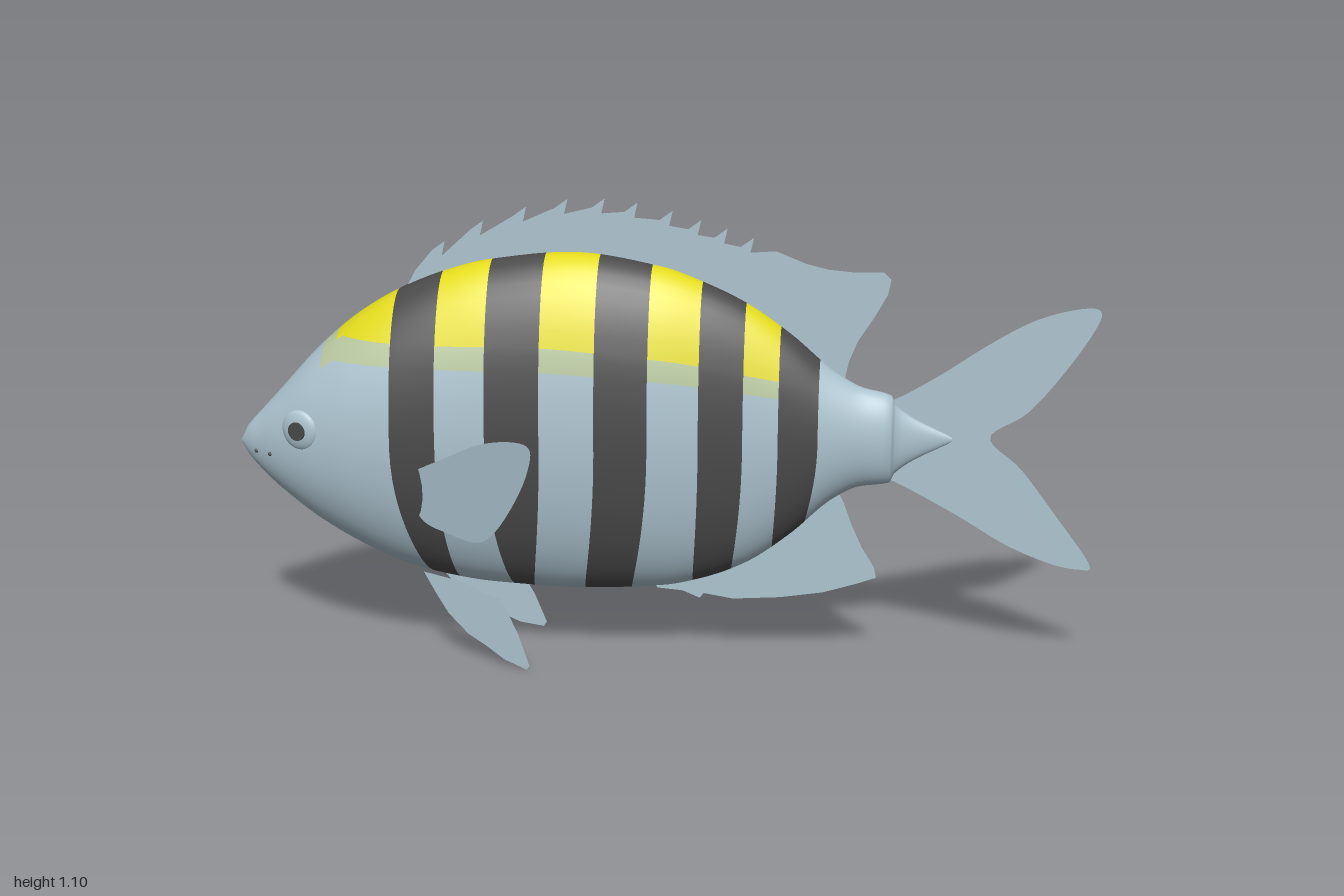
import * as THREE from 'three';

const mat = (name, color, side = THREE.FrontSide) => {
  const m = new THREE.MeshStandardMaterial({ color, side });
  m.name = name;
  return m;
};

// Body stations: x, top y, bottom y, half width
const PROFILE = [
  [-1, 0.508, 0.502, 0.002], [-0.985, 0.54, 0.476, 0.02], [-0.95, 0.58, 0.435, 0.045],
  [-0.9, 0.635, 0.39, 0.08], [-0.8, 0.745, 0.315, 0.128], [-0.7, 0.83, 0.258, 0.155],
  [-0.6, 0.89, 0.215, 0.165], [-0.5, 0.932, 0.19, 0.166], [-0.4, 0.96, 0.176, 0.165],
  [-0.2, 0.982, 0.168, 0.16], [0, 0.953, 0.18, 0.143], [0.1, 0.918, 0.203, 0.126],
  [0.2, 0.87, 0.245, 0.107], [0.3, 0.8, 0.318, 0.09], [0.4, 0.715, 0.41, 0.071],
  [0.46, 0.68, 0.442, 0.058], [0.53, 0.662, 0.453, 0.047], [0.54, 0.64, 0.475, 0.028],
  [0.67, 0.566, 0.556, 0.003],
];
// Lower edges of the yellow back and of the pale band below it: x, y, y
const BACK = [[-1, 0.785, 0.73], [-0.6, 0.785, 0.735], [-0.3, 0.79, 0.735], [0, 0.765, 0.715], [0.25, 0.715, 0.675], [0.67, 0.62, 0.6]];
// Colour edges along the body: x, shift at the belly, colour zone that follows
const EDGES = [
  [-1, 0, 'plain'], [-0.785, 0, 'fade'], [-0.75, 0, 'back'], [-0.61, 0.07, 'bar'], [-0.505, 0.03, 'back'],
  [-0.39, 0.045, 'bar'], [-0.265, -0.035, 'back'], [-0.14, -0.04, 'bar'], [-0.02, -0.05, 'back'],
  [0.095, -0.02, 'bar'], [0.195, -0.03, 'back'], [0.275, -0.015, 'bar'], [0.365, -0.03, 'plain'],
  [0.53, 0, 'plain'], [0.54, 0, 'plain'], [0.67, 0, 'plain'],
];

// Monotone cubic interpolation of column k of a table
function sample(table, k, x) {
  const n = table.length;
  const slope = i => (table[i + 1][k] - table[i][k]) / (table[i + 1][0] - table[i][0]);
  const tangent = i => {
    if (i === 0) return slope(0);
    if (i === n - 1) return slope(n - 2);
    const a = slope(i - 1), b = slope(i);
    return a * b <= 0 ? 0 : (2 * a * b) / (a + b);
  };
  let i = 0;
  while (i < n - 2 && x > table[i + 1][0]) i++;
  const h = table[i + 1][0] - table[i][0];
  const t = Math.min(1, Math.max(0, (x - table[i][0]) / h)), t2 = t * t, t3 = t2 * t;
  return (2 * t3 - 3 * t2 + 1) * table[i][k] + (t3 - 2 * t2 + t) * h * tangent(i)
    + (3 * t2 - 2 * t3) * table[i + 1][k] + (t3 - t2) * h * tangent(i + 1);
}

function section(x) {
  const top = sample(PROFILE, 1, x), bottom = sample(PROFILE, 2, x);
  return { mid: (top + bottom) / 2, half: (top - bottom) / 2, width: sample(PROFILE, 3, x) };
}

function sideZ(x, y) {
  const s = section(x), t = (y - s.mid) / s.half;
  return s.width * Math.sqrt(Math.max(0, 1 - t * t));
}

// Elliptical loft whose rows and columns follow the colour edges
function bodyGeometry() {
  const columns = [];
  EDGES.forEach(([x, shift, zone], i) => {
    if (i === EDGES.length - 1) return columns.push({ x, shift, zone });
    const [x2, shift2] = EDGES[i + 1], n = Math.max(2, Math.ceil((x2 - x) / 0.018));
    for (let k = 0; k < n; k++) {
      columns.push({ x: x + (x2 - x) * k / n, shift: shift + (shift2 - shift) * k / n, zone });
    }
  });
  const YELLOW = 8, PALE = 3, LOWER = 21, HALF = YELLOW + PALE + LOWER, RING = HALF * 2;
  const positions = [], faces = [[], [], [], []];
  for (const c of columns) {
    const s = section(c.x);
    const angle = (k, lo, hi) => Math.acos(THREE.MathUtils.clamp((sample(BACK, k, c.x) - s.mid) / s.half, lo, hi));
    const a1 = angle(1, 0.2, 0.93), a2 = angle(2, 0.05, 0.78);
    for (let j = 0; j < RING; j++) {
      const r = j <= HALF ? j : RING - j;
      const a = r <= YELLOW ? a1 * r / YELLOW
        : r <= YELLOW + PALE ? a1 + (a2 - a1) * (r - YELLOW) / PALE
          : a2 + (Math.PI - a2) * (r - YELLOW - PALE) / LOWER;
      const t = Math.cos(a), x = c.x + c.shift * Math.max(0, -t) ** 2, p = section(x);
      positions.push(x, p.mid + p.half * t, p.width * Math.sin(a) * (j <= HALF ? 1 : -1));
    }
  }
  for (let i = 0; i < columns.length - 1; i++) {
    const zone = columns[i].zone;
    for (let j = 0; j < RING; j++) {
      const r = j < HALF ? j : RING - 1 - j;
      let m = 0;
      if (zone === 'bar') m = 3;
      else if (zone !== 'plain' && r < YELLOW + PALE) m = zone === 'back' && r < YELLOW ? 1 : 2;
      const a = i * RING + j, b = i * RING + (j + 1) % RING;
      faces[m].push(a, b, b + RING, a, b + RING, a + RING);
    }
  }
  const g = new THREE.BufferGeometry();
  g.setAttribute('position', new THREE.Float32BufferAttribute(positions, 3));
  g.setIndex(faces.flat());
  let start = 0;
  faces.forEach((f, m) => { g.addGroup(start, f.length, m); start += f.length; });
  g.computeVertexNormals();
  return g;
}

// Flat fin from an outline, optionally slanted out of the plane by a rule for z
function finGeometry(points, smooth, zRule) {
  let pts = points.map(p => new THREE.Vector2(...p));
  if (smooth) pts = new THREE.SplineCurve(pts).getPoints(points.length * 5);
  const g = new THREE.ShapeGeometry(new THREE.Shape(pts));
  if (zRule) {
    const p = g.attributes.position;
    for (let i = 0; i < p.count; i++) p.setZ(i, zRule(p.getX(i), p.getY(i)));
    g.computeVertexNormals();
  }
  return g;
}

export function createModel() {
  const model = new THREE.Group();
  const silver = mat('silverBlue', 0xadc4d0, THREE.DoubleSide);
  const yellow = mat('yellow', 0xe4dc1e);
  const pale = mat('paleGreen', 0xb9c9a0);
  const dark = mat('charcoal', 0x4a4a4a);
  const add = (name, geometry, material, parent = model) => {
    const mesh = new THREE.Mesh(geometry, material);
    mesh.name = name;
    parent.add(mesh);
    return mesh;
  };

  add('body', bodyGeometry(), [silver, yellow, pale, dark]);

  // Tail fin
  add('tailFin', finGeometry([
    [0.5, 0.64], [0.55, 0.66], [0.64, 0.715], [0.74, 0.785], [0.84, 0.845], [0.93, 0.875], [0.99, 0.877],
    [0.985, 0.835], [0.92, 0.73], [0.84, 0.63], [0.757, 0.568], [0.83, 0.495], [0.91, 0.39], [0.997, 0.268],
    [0.97, 0.254], [0.9, 0.268], [0.8, 0.31], [0.7, 0.37], [0.6, 0.425], [0.54, 0.455], [0.5, 0.47],
  ], true), silver);

  // Dorsal fin: a row of backward spines, then a soft lobe
  const dorsal = [[-0.4, 0.92], [-0.6, 0.875], [-0.57, 0.93]];
  for (const [x, y] of [[-0.5, 1], [-0.41, 1.05], [-0.31, 1.085], [-0.215, 1.105], [-0.13, 1.108],
    [-0.055, 1.1], [0.025, 1.083], [0.09, 1.063], [0.15, 1.045], [0.21, 1.025]]) {
    dorsal.push([x - 0.03, y - 0.022], [x, y], [x - 0.008, y - 0.035]);
  }
  dorsal.push([0.26, 0.995], [0.33, 0.967], [0.38, 0.955], [0.44, 0.95], [0.505, 0.952], [0.522, 0.935], [0.515, 0.9],
    [0.485, 0.845], [0.45, 0.79], [0.43, 0.74], [0.42, 0.69], [0.3, 0.76], [0.1, 0.87], [-0.1, 0.93]);
  add('dorsalFin', finGeometry(dorsal), silver);

  // Anal fin
  add('analFin', finGeometry([
    [-0.03, 0.2], [-0.01, 0.17], [0.05, 0.165], [0.09, 0.148], [0.1, 0.16], [0.17, 0.149], [0.28, 0.157], [0.38, 0.173],
    [0.46, 0.198], [0.505, 0.215], [0.5, 0.24], [0.47, 0.29], [0.445, 0.345], [0.425, 0.4], [0.41, 0.43], [0.3, 0.36], [0.15, 0.25],
  ]), silver);

  // Paired fins, eyes and face marks
  for (const [side, s] of [['left', -1], ['right', 1]]) {
    add(side + 'PectoralFin', finGeometry([
      [-0.575, 0.485], [-0.475, 0.54], [-0.39, 0.585], [-0.31, 0.602], [-0.27, 0.588], [-0.28, 0.525], [-0.315, 0.445],
      [-0.365, 0.365], [-0.41, 0.333], [-0.475, 0.345], [-0.54, 0.37], [-0.565, 0.43], [-0.575, 0.485],
    ], true, (x, y) => s * (0.255 + 0.306 * x + 0.15 * y)), silver);

    add(side + 'PelvicFin', finGeometry([
      [-0.56, 0.21], [-0.53, 0.16], [-0.5, 0.115], [-0.45, 0.07], [-0.41, 0.05], [-0.36, 0.02], [-0.305, 0.004],
      [-0.298, 0.015], [-0.325, 0.09], [-0.355, 0.15], [-0.365, 0.172], [-0.4, 0.178], [-0.46, 0.2],
    ], false, x => s * (0.06 + 0.315 * (x + 0.55))), silver);

    const eye = new THREE.Group();
    eye.name = side + 'Eye';
    eye.position.set(-0.83, 0.57, s * (sideZ(-0.83, 0.57) - 0.002));
    eye.rotation.y = s > 0 ? -0.36 : Math.PI + 0.36;
    add('eyeball', new THREE.SphereGeometry(0.048, 24, 16), silver, eye).scale.z = 0.32;
    const pupil = add('pupil', new THREE.CylinderGeometry(0.022, 0.022, 0.006, 20), dark, eye);
    pupil.rotation.x = Math.PI / 2;
    pupil.position.z = 0.0145;
    model.add(eye);

    for (const [x, y] of [[-0.955, 0.493], [-0.915, 0.495]]) {
      add(side + 'Nostril', new THREE.SphereGeometry(0.005, 8, 6), dark).position.set(x, y, s * sideZ(x, y));
    }
  }
  return model;
}
